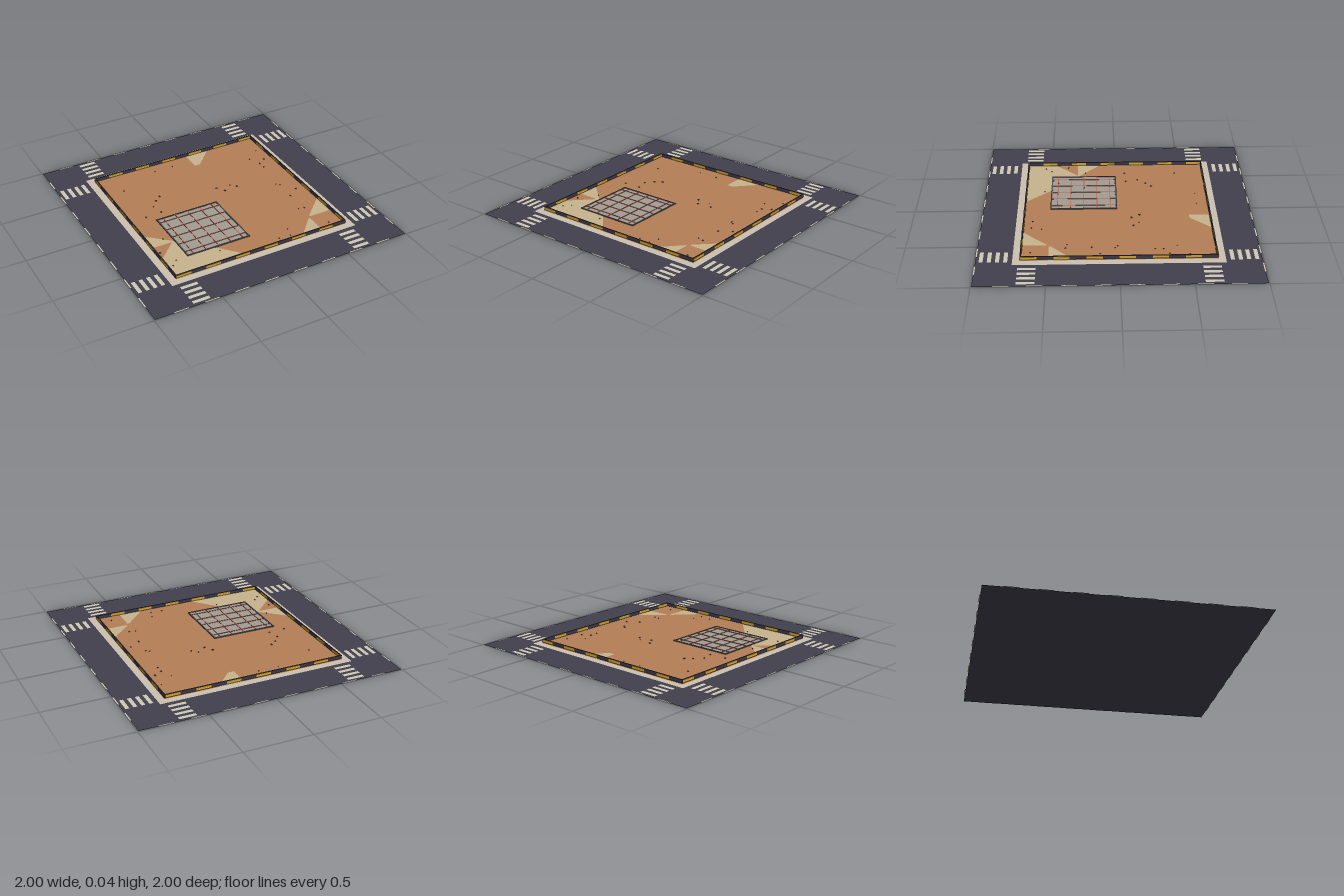
import * as THREE from 'three';

const mat = (name, color, side = THREE.FrontSide) => {
  const m = new THREE.MeshStandardMaterial({ color, side });
  m.name = name;
  return m;
};

export function createModel() {
  const model = new THREE.Group();
  model.name = 'constructionLot';
  const D = THREE.DoubleSide;
  const asphalt = mat('asphalt', 0x41404c, D);
  const paint = mat('roadPaint', 0xcfc9b6, D);
  const kerb = mat('kerbStone', 0xcbc1b1, D);
  const dirt = mat('dirt', 0xb47e56, D);
  const sand = mat('sand', 0xc8b38c, D);
  const dark = mat('barrierDark', 0x3a3846);
  const yellow = mat('barrierYellow', 0xd2a22c);
  const concrete = mat('concrete', 0xa39d94);
  const steel = mat('darkGrey', 0x55565a);
  const red = mat('rebarRed', 0xc2573f);

  const add = (parent, name, geo, material, x = 0, y = 0, z = 0) => {
    const m = new THREE.Mesh(geo, material);
    m.name = name;
    m.position.set(x, y, z);
    parent.add(m);
    return m;
  };
  const box = (parent, name, material, w, h, d, x, y, z) =>
    add(parent, name, new THREE.BoxGeometry(w, h, d), material, x, y, z);
  const sheet = (parent, name, material, w, d, x, y, z) =>
    add(parent, name, new THREE.PlaneGeometry(w, d).rotateX(-Math.PI / 2), material, x, y, z);
  // Flat polygon on the ground from [x, z] corners
  const patch = (name, material, y, pts) => {
    const shape = new THREE.Shape(pts.map(([x, z]) => new THREE.Vector2(x, -z)));
    add(model, name, new THREE.ShapeGeometry(shape).rotateX(-Math.PI / 2), material, 0, y, 0);
  };

  // Ground layers
  sheet(model, 'road', asphalt, 1.988, 1.988, 0, 0, 0);
  sheet(model, 'sidewalk', kerb, 1.48, 1.48, 0, 0.003, 0);
  sheet(model, 'dirtLot', dirt, 1.38, 1.38, 0, 0.005, 0);

  // Sand patches
  patch('sandCorner', sand, 0.0065, [[-0.69, 0.12], [-0.497, 0.295], [-0.288, 0.49], [-0.11, 0.69],
    [-0.69, 0.69], [-0.69, 0.465], [-0.52, 0.295], [-0.69, 0.295]]);
  patch('sandBack', sand, 0.0065, [[0.096, -0.69], [0.29, -0.69], [0.14, -0.53], [0.096, -0.53]]);
  patch('sandSide', sand, 0.0065, [[0.69, 0.31], [0.51, 0.48], [0.515, 0.492], [0.69, 0.492]]);
  patch('sandFront', sand, 0.0065, [[0.315, 0.69], [0.485, 0.51], [0.497, 0.51], [0.497, 0.69]]);

  // Four matching sides: road markings and striped barrier
  for (let s = 0; s < 4; s++) {
    const side = new THREE.Group();
    side.name = 'side' + (s + 1);
    side.rotation.y = s * Math.PI / 2;
    model.add(side);
    for (let i = 0; i < 8; i++) {
      sheet(side, 'edgeDash', paint, 0.108, 0.012, -0.8 + i * 0.2286, 0.0015, 0.994);
    }
    for (const x of [-0.637, 0.637]) {
      for (let i = 0; i < 4; i++) {
        sheet(side, 'crosswalkStripe', paint, 0.127, 0.028, x, 0.0015, 0.787 + i * 0.0565);
      }
    }
    box(side, 'barrierRail', dark, 1.374, 0.026, 0.008, 0, 0.024, 0.684);
    for (let i = 0; i < 6; i++) {
      box(side, 'barrierStripe', yellow, 0.112, 0.02, 0.013, -0.6265 + i * 0.2285, 0.0235, 0.684);
    }
  }

  // Foundation slab with frame and reinforcing grid
  const slab = new THREE.Group();
  slab.name = 'foundation';
  slab.position.set(-0.25, 0, 0.247);
  model.add(slab);
  box(slab, 'slab', concrete, 0.48, 0.004, 0.48, 0, 0.007, 0);
  for (const e of [-1, 1]) {
    box(slab, 'formwork', steel, 0.5, 0.007, 0.01, 0, 0.0085, e * 0.244);
    box(slab, 'formwork', steel, 0.01, 0.007, 0.48, e * 0.244, 0.0085, 0);
  }
  for (let i = -2; i <= 2; i++) {
    box(slab, 'rebar', red, 0.005, 0.003, 0.476, i * 0.099, 0.0105, 0);
    box(slab, 'rebar', red, 0.476, 0.003, 0.005, 0, 0.0115, i * 0.099);
  }

  // Scattered pebbles: x, z, radius
  const pebbles = [
    [-0.34, -0.27, 8], [-0.39, -0.23, 7], [-0.44, -0.17, 6], [-0.42, -0.08, 7], [-0.55, -0.07, 7],
    [-0.545, -0.465, 6], [-0.22, -0.6, 4], [-0.065, -0.6, 5], [0.09, -0.165, 8], [0.13, -0.105, 8],
    [0.2, -0.155, 5], [0.24, -0.115, 7], [0.63, -0.495, 5], [0.52, -0.41, 4], [0.62, -0.355, 7],
    [0.56, -0.315, 7], [0.56, -0.255, 5], [0.515, 0.005, 6], [0.54, 0.025, 5], [0.615, 0.13, 6],
    [0.53, 0.19, 7], [0.49, 0.365, 5], [0.535, 0.375, 6], [0.59, 0.62, 6], [0.28, 0.55, 4],
    [0.17, 0.62, 5], [0.26, 0.625, 5], [-0.27, 0.545, 5], [-0.635, 0.545, 6], [-0.59, 0.5, 5],
    [-0.65, 0.37, 7], [-0.56, 0.235, 5],
  ];
  pebbles.forEach(([x, z, r], i) => {
    const p = add(model, 'pebble', new THREE.DodecahedronGeometry(r / 1000), steel, x, 0.0075, z);
    p.scale.y = 0.6;
    p.rotation.y = i * 1.3;
  });
  return model;
}
